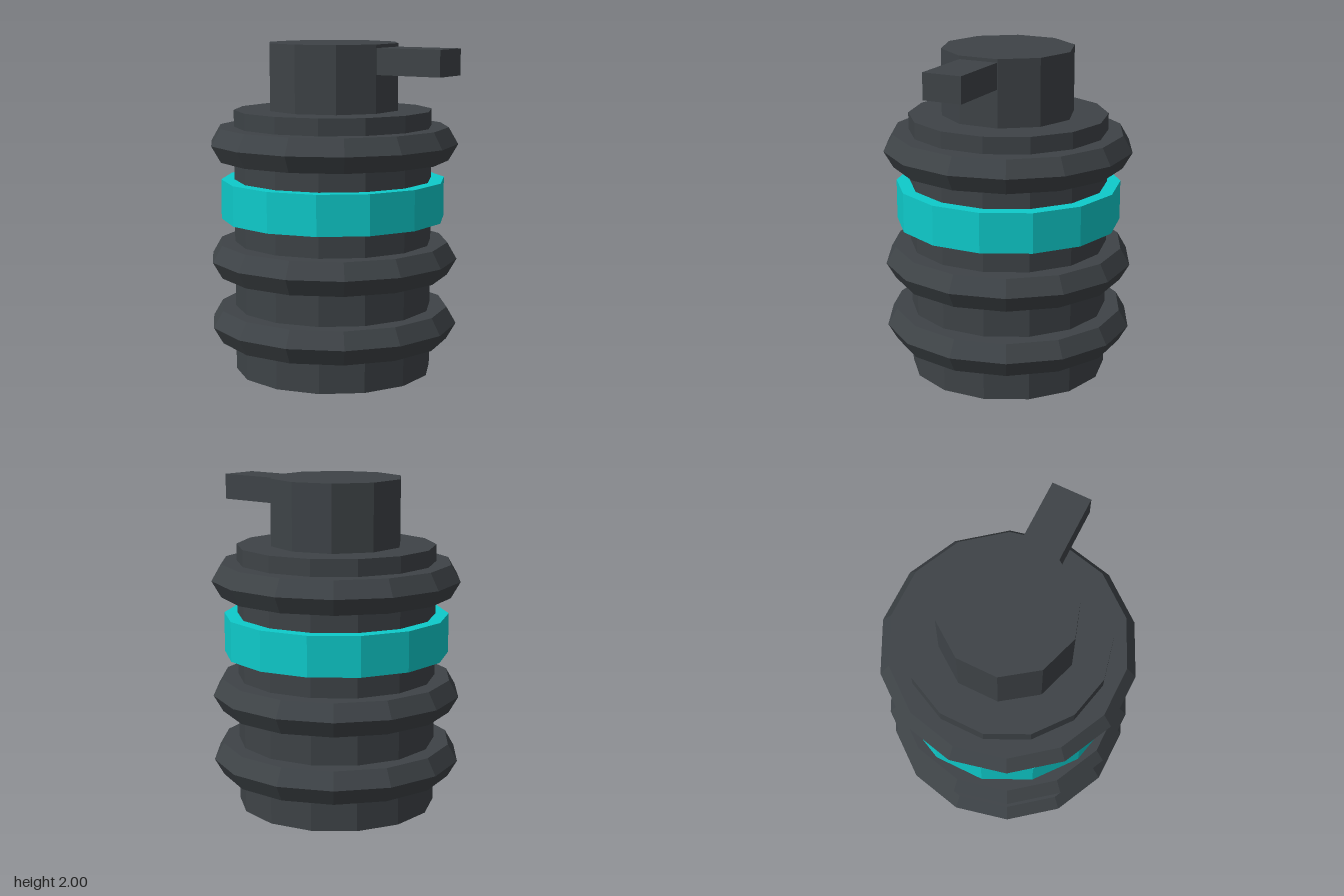
import * as THREE from 'three';

export function createModel() {
  const model = new THREE.Group();
  model.name = 'canister';

  const casing = new THREE.MeshStandardMaterial({ color: 0x3e4347, flatShading: true });
  casing.name = 'dark casing';
  const cyan = new THREE.MeshStandardMaterial({ color: 0x0ecaca, flatShading: true });
  cyan.name = 'cyan band';

  const axisX = -0.0225; // the barrel sits slightly off centre because of the lever
  const add = (name, geometry, material, x, y) => {
    const mesh = new THREE.Mesh(geometry, material);
    mesh.name = name;
    mesh.position.set(x, y, 0);
    model.add(mesh);
    return mesh;
  };

  // Barrel, coloured band and top cap
  add('body', new THREE.CylinderGeometry(0.6, 0.6, 1.6, 14), casing, axisX, 0.8);
  add('band', new THREE.CylinderGeometry(0.68, 0.68, 0.24, 14), cyan, axisX, 1.06);
  add('cap', new THREE.CylinderGeometry(0.4, 0.4, 0.4, 10), casing, axisX, 1.8);

  // Ridged rings with a hexagonal section
  for (const y of [0.3, 0.7, 1.4]) {
    const ring = new THREE.TorusGeometry(0.64, 0.115, 6, 14).rotateX(Math.PI / 2);
    add('ring', ring, casing, axisX, y);
  }

  // Lever sticking out of the cap
  add('lever', new THREE.BoxGeometry(0.6, 0.155, 0.24), casing, 0.4775, 1.902);

  return model;
}
